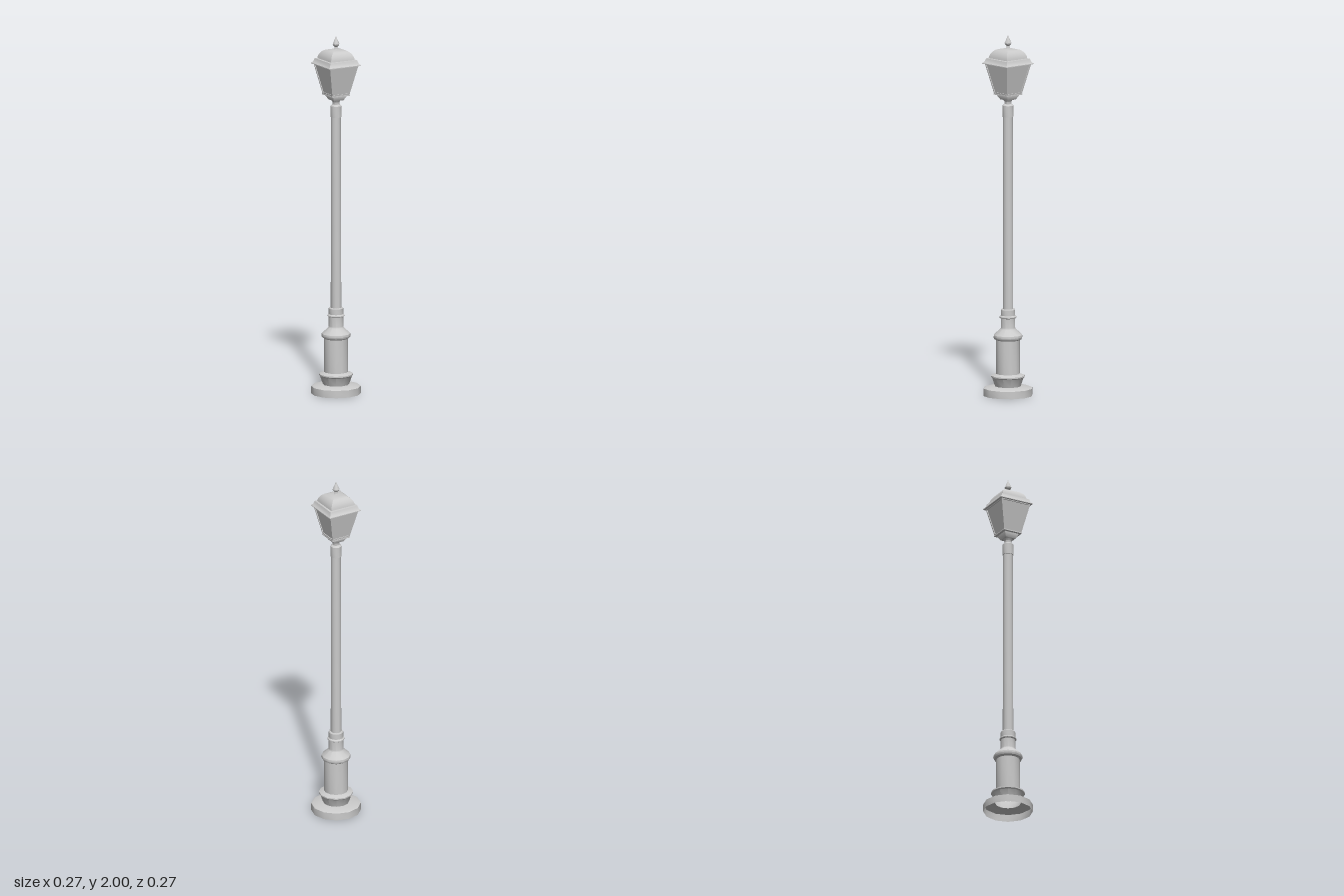
import * as THREE from 'three';
import { toCreasedNormals } from 'three/addons/utils/BufferGeometryUtils.js';

const material = new THREE.MeshStandardMaterial({ color: 0xcccccc, side: THREE.DoubleSide });

// Turned part from [radius, height] pairs, listed bottom to top
function turned(name, profile, sides = 12) {
  const points = profile.map(([r, y]) => new THREE.Vector2(r, y));
  const mesh = new THREE.Mesh(toCreasedNormals(new THREE.LatheGeometry(points, sides), 0.6), material);
  mesh.name = name;
  return mesh;
}

// Square part from [half width, height] pairs
function square(name, profile) {
  const points = profile.map(([w, y]) => new THREE.Vector2(w * Math.SQRT2, y));
  const geometry = new THREE.LatheGeometry(points, 4, Math.PI / 4);
  const mesh = new THREE.Mesh(toCreasedNormals(geometry, 0.6), material);
  mesh.name = name;
  return mesh;
}

// One sloping lantern side: a frame, its inner reveal and a recessed pane
function lanternSide() {
  const y0 = 1.674, y1 = 1.84, w0 = 0.054, w1 = 0.09, border = 0.007, depth = 0.005;
  const loop = (inset, back) => [[-1, 0], [1, 0], [1, 1], [-1, 1]].map(([sx, top]) => {
    const y = top ? y1 - inset : y0 + inset;
    const w = THREE.MathUtils.lerp(w0, w1, (y - y0) / (y1 - y0));
    return [sx * (w - inset), y, w - back];
  });
  const loops = [loop(0, 0), loop(border, 0), loop(border, depth)];
  const positions = [];
  const quad = (a, b, c, d) => positions.push(...a, ...b, ...c, ...a, ...c, ...d);
  for (let k = 0; k < 2; k++) {
    for (let i = 0; i < 4; i++) {
      const j = (i + 1) % 4;
      quad(loops[k][i], loops[k][j], loops[k + 1][j], loops[k + 1][i]);
    }
  }
  quad(...loops[2]);
  const geometry = new THREE.BufferGeometry();
  geometry.setAttribute('position', new THREE.Float32BufferAttribute(positions, 3));
  geometry.computeVertexNormals();
  return geometry;
}

export function createModel() {
  const model = new THREE.Group();
  model.name = 'streetLamp';

  // Hollow foot and stepped pedestal
  model.add(turned('foot', [[0.136, 0], [0.136, 0.041], [0.125, 0.046], [0.072, 0.052]]));
  model.add(turned('pedestal', [
    [0.072, 0.052], [0.088, 0.098], [0.094, 0.104], [0.094, 0.111], [0.066, 0.121],
    [0.066, 0.308], [0.077, 0.315], [0.081, 0.325], [0.079, 0.336],
    [0.042, 0.37], [0.04, 0.376], [0.04, 0.428], [0.047, 0.432], [0.047, 0.438],
    [0.04, 0.444], [0.04, 0.476], [0.037, 0.48], [0.029, 0.48],
  ]));

  // Pole with its top collar and neck
  model.add(turned('pole', [[0.029, 0.47], [0.027, 1.55]]));
  model.add(turned('collar', [
    [0.026, 1.545], [0.03, 1.546], [0.03, 1.608], [0.027, 1.612],
    [0.019, 1.617], [0.019, 1.63], [0.028, 1.643],
  ]));

  // Square lantern: tray, four framed panes
  model.add(square('lanternTray', [
    [0, 1.641], [0.03, 1.641], [0.042, 1.662], [0.042, 1.668],
    [0.056, 1.668], [0.056, 1.674], [0, 1.674],
  ]));
  const paneGeometry = lanternSide();
  const lantern = new THREE.Group();
  lantern.name = 'lanternSides';
  for (let i = 0; i < 4; i++) {
    const side = new THREE.Mesh(paneGeometry, material);
    side.name = 'framedPane';
    side.rotation.y = i * Math.PI / 2;
    lantern.add(side);
  }
  model.add(lantern);

  // Roof: flared eave and curved hipped dome
  model.add(square('eave', [
    [0, 1.838], [0.1, 1.838], [0.1, 1.842], [0.091, 1.85], [0.085, 1.868], [0.075, 1.87],
  ]));
  model.add(square('dome', [
    [0.075, 1.87], [0.073, 1.881], [0.068, 1.894], [0.059, 1.907],
    [0.047, 1.917], [0.03, 1.922], [0, 1.925],
  ]));

  // Pointed finial
  model.add(turned('finial', [
    [0.012, 1.92], [0.008, 1.926], [0.007, 1.938], [0.016, 1.946],
    [0.019, 1.953], [0.016, 1.961], [0.007, 1.982], [0, 2],
  ], 10));
  return model;
}
